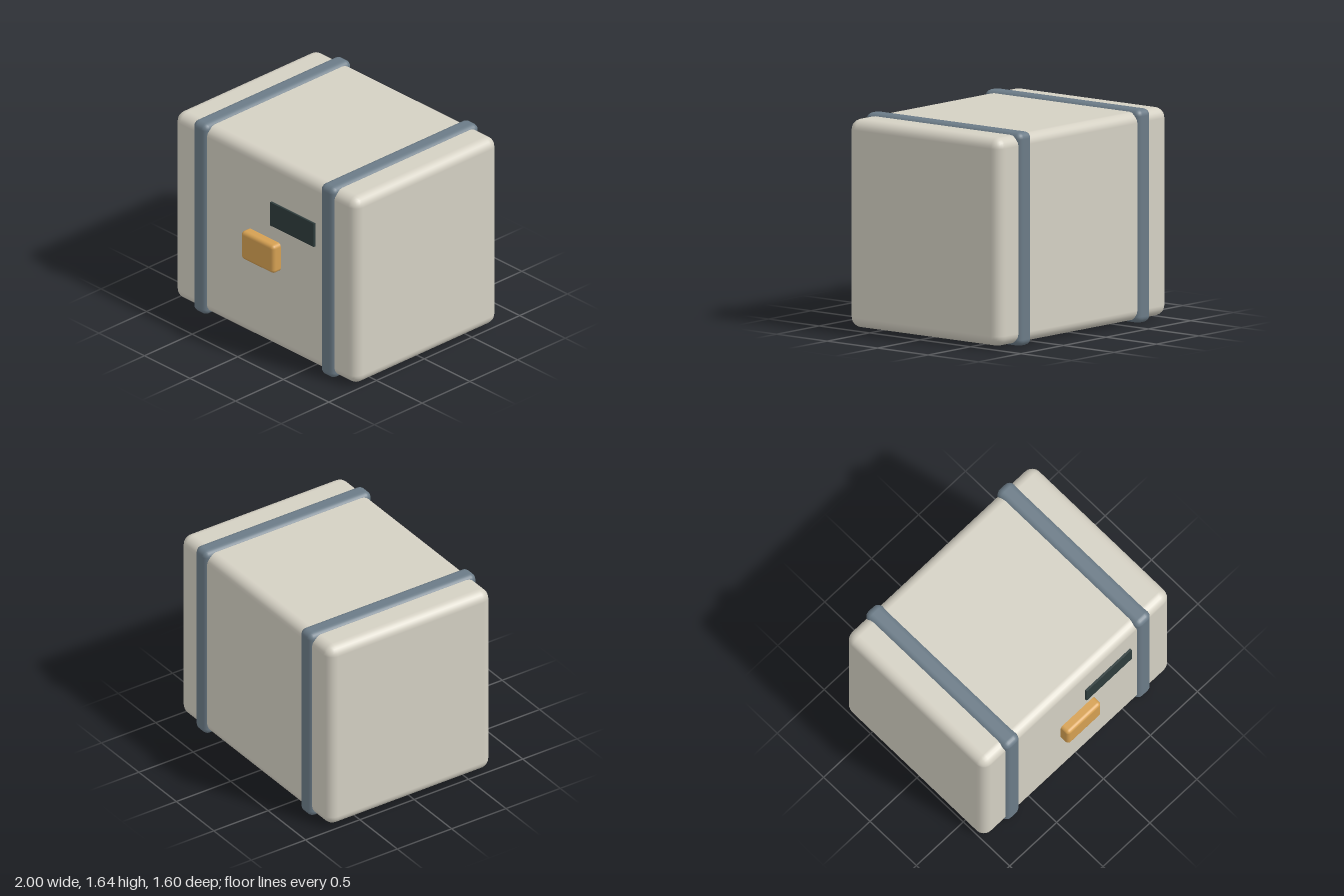
import * as THREE from 'three';
import { RoundedBoxGeometry } from 'three/addons/geometries/RoundedBoxGeometry.js';

function material(name, color) {
  const m = new THREE.MeshStandardMaterial({ color });
  m.name = name;
  return m;
}

export function createModel() {
  const group = new THREE.Group();
  group.name = 'crate';

  const shell = material('warm grey shell', 0xd4d0c3);
  const band = material('slate band', 0x6b7b87);
  const amber = material('amber latch', 0xd5a052);
  const dark = material('dark label', 0x2e3c3c);

  const add = (name, geometry, mat, x, y, z) => {
    const mesh = new THREE.Mesh(geometry, mat);
    mesh.name = name;
    mesh.position.set(x, y, z);
    group.add(mesh);
  };

  // Rounded main box
  add('body', new RoundedBoxGeometry(2, 1.6, 1.5, 3, 0.08), shell, 0, 0.82, -0.03);

  // Two bands wrapping the box, slightly proud on every side
  const strap = new RoundedBoxGeometry(0.156, 1.64, 1.54, 3, 0.05);
  for (const [name, x] of [['leftStrap', 0.7], ['rightStrap', -0.7]]) {
    add(name, strap, band, x, 0.82, -0.03);
  }

  // Latch in the middle of the front, sunk into the body
  add('latch', new RoundedBoxGeometry(0.36, 0.24, 0.12, 3, 0.03), amber, 0, 0.82, 0.74);

  // Thin label panel on the front
  add('labelPanel', new THREE.BoxGeometry(0.48, 0.2, 0.02), dark, 0.32, 1.165, 0.728);

  return group;
}
